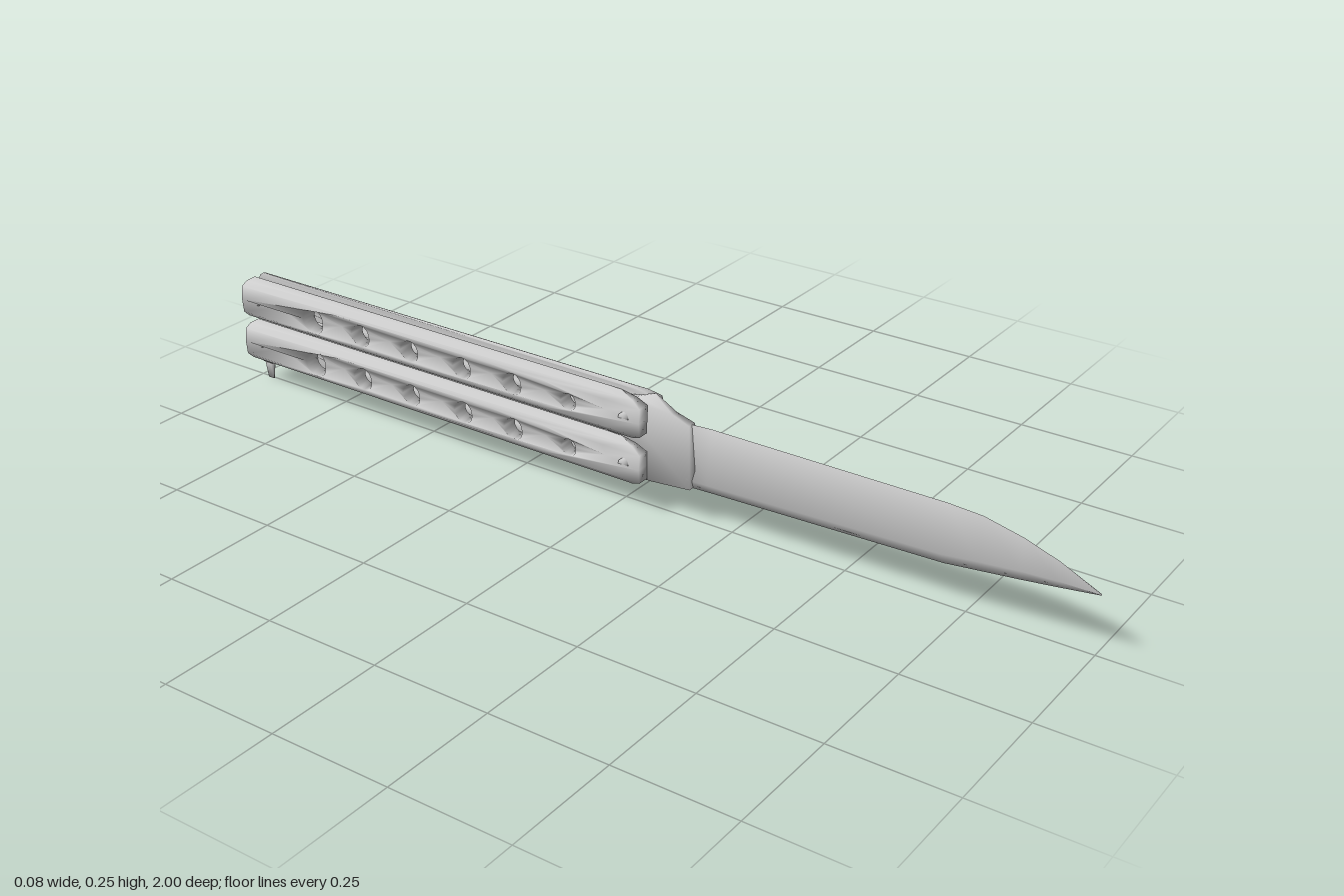
import * as THREE from 'three';
import { mergeGeometries, mergeVertices } from 'three/addons/utils/BufferGeometryUtils.js';

const steel = new THREE.MeshStandardMaterial({ color: 0xcccccc });
const CX = -0.002;                 // centre plane of blade and channels
const INNER = 0.013;               // half width of the channel

// Half cross-section of a handle scale: [height from its middle, outer x, front z, back z]
const RIDGES = [
  [0, 0.042, 0.06, -1], [0.03, 0.039, 0.06, -1],
  [0.041, 0.029, 0.035, -0.995], [0.048, 0.016, 0.0, -0.985],
];
const HOLES = [[-0.79, 0.022], [-0.655, 0.019], [-0.52, 0.018], [-0.38, 0.018], [-0.25, 0.018], [-0.11, 0.014]];
const FLARE = 1.3;                 // widening of each hole toward the outside
const DENTS = [-0.9, ...HOLES.slice(1).map(([z], i) => (z + HOLES[i][0]) / 2), -0.03];
const DENT_DEPTH = 0.017;          // carved hollows between the holes

function addMesh(parent, name, geometry, x = 0, y = 0, z = 0) {
  const mesh = new THREE.Mesh(geometry, steel);
  mesh.name = name;
  mesh.position.set(x, y, z);
  parent.add(mesh);
  return mesh;
}

// Softly shaded all over: each corner takes the plain average of its faces' normals
function smooth(geometry) {
  geometry.deleteAttribute('normal');
  geometry.deleteAttribute('uv');
  const geo = mergeVertices(geometry);
  const p = geo.attributes.position, index = geo.index.array;
  const sums = new Float32Array(p.count * 3);
  const triangle = new THREE.Triangle(), n = new THREE.Vector3();
  for (let i = 0; i < index.length; i += 3) {
    triangle.setFromAttributeAndIndices(p, index[i], index[i + 1], index[i + 2]).getNormal(n);
    for (let k = 0; k < 3; k++) {
      const at = index[i + k] * 3;
      sums[at] += n.x;
      sums[at + 1] += n.y;
      sums[at + 2] += n.z;
    }
  }
  geo.setAttribute('normal', new THREE.BufferAttribute(sums, 3));
  geo.normalizeNormals();
  return geo;
}

// One lengthwise strip of a scale; the innermost strip has half-round notches for the holes
function scaleBand(i, side, up) {
  const [va, xa, fa, ba] = RIDGES[i], [vb, xb, fb, bb] = RIDGES[i + 1];
  const outline = [[ba, va]];
  DENTS.forEach((dent, h) => {
    outline.push([dent, va]);
    if (i > 0 || h === HOLES.length) return;
    const [z, r] = HOLES[h];
    for (let k = 0; k <= 8; k++) {
      const a = Math.PI * (1 - k / 8);
      outline.push([z + r * Math.cos(a), r * Math.sin(a)]);
    }
  });
  outline.push([fa, va], [fb, vb]);
  for (const dent of [...DENTS].reverse()) outline.push([dent, vb]);
  outline.push([bb, vb]);
  const shape = new THREE.Shape(outline.map(([z, v]) => new THREE.Vector2(-side * z, up * v)));
  const geo = new THREE.ExtrudeGeometry(shape, { depth: 1, bevelEnabled: false });
  const p = geo.attributes.position;
  for (let k = 0; k < p.count; k++) {
    let z = -side * p.getX(k), v = p.getY(k);
    const t = p.getZ(k);
    const hole = HOLES.find(([hz, r]) => Math.abs(Math.hypot(z - hz, v) - r) < 1e-4);
    const dented = Math.abs(v) < 1e-5 && DENTS.some((dent) => Math.abs(dent - z) < 1e-4);
    if (hole && t > 0.5) {
      z = hole[0] + (z - hole[0]) * FLARE;
      v *= FLARE;
    }
    const outer = xa + (xb - xa) * (Math.abs(v) - va) / (vb - va) - (dented ? DENT_DEPTH : 0);
    p.setXYZ(k, side * (INNER + t * (outer - INNER)), v, z);
  }
  return geo;
}

function scaleGeometry(side) {
  const bands = [];
  for (const up of [1, -1]) {
    for (let i = 0; i < RIDGES.length - 1; i++) bands.push(scaleBand(i, side, up));
  }
  return smooth(mergeGeometries(bands));
}

// Plate cut from a [z, y] outline, centred on x = 0; halfWidth(y) gives its taper
function plate(outline, halfWidth) {
  const shape = new THREE.Shape(outline.map(([z, y]) => new THREE.Vector2(-z, y)));
  const geo = new THREE.ExtrudeGeometry(shape, { depth: 2, bevelEnabled: false })
    .translate(0, 0, -1).rotateY(Math.PI / 2);
  const p = geo.attributes.position;
  for (let i = 0; i < p.count; i++) p.setX(i, p.getX(i) * halfWidth(p.getY(i)));
  return smooth(geo);
}

function pin(parent, name, z, r, length) {
  const geo = new THREE.CylinderGeometry(r, r, length, 12).rotateZ(Math.PI / 2);
  addMesh(parent, name, smooth(geo), 0, 0, z);
}

// Two scales around a channel, with a ridged spacer toward the other handle
function makeHandle(name, y, inward) {
  const handle = new THREE.Group();
  handle.name = name;
  handle.position.set(CX, y, 0);
  addMesh(handle, 'leftScale', scaleGeometry(1));
  addMesh(handle, 'rightScale', scaleGeometry(-1));
  const near = inward * 0.024, far = inward * 0.043;
  addMesh(handle, 'spacer', plate(
    [[-0.06, near], [-0.06, far], [-0.96, far], [-0.96, near]],
    (v) => 0.002 + (INNER - 0.002) * (v - near) / (far - near)));
  pin(handle, 'pivotPin', 0.02, 0.012, 0.075);
  pin(handle, 'tailPin', -0.96, 0.008, 0.07);
  return handle;
}

// Ground blade: [z, bottom y, shoulder y, edge y, half width], from tip to heel
function bladeGeometry() {
  const stations = [
    [1.0, 0.122, 0.123, 0.125, 0.0005], [0.92, 0.111, 0.125, 0.162, 0.004],
    [0.85, 0.102, 0.122, 0.186, 0.006], [0.77, 0.093, 0.115, 0.204, 0.008],
    [0.7, 0.085, 0.108, 0.208, 0.011], [0.2, 0.071, 0.092, 0.208, 0.012],
    [0.15, 0.069, 0.09, 0.205, 0.012],
  ];
  const pos = [], index = [];
  for (const [z, yb, ym, yt, w] of stations) {
    pos.push(0, yb, z, w, ym, z, 0, yt, z, -w, ym, z);
  }
  for (let i = 0; i < stations.length - 1; i++) {
    for (let j = 0; j < 4; j++) {
      const a = i * 4 + j, b = i * 4 + (j + 1) % 4, c = a + 4, d = b + 4;
      index.push(a, c, b, c, d, b);
    }
  }
  const geo = new THREE.BufferGeometry();
  geo.setAttribute('position', new THREE.Float32BufferAttribute(pos, 3));
  geo.setIndex(index);
  return smooth(geo);
}

export function createModel() {
  const model = new THREE.Group();
  model.name = 'foldingKnife';

  // Blade and its thick heel, with the kicker narrowing to a ridge on top
  addMesh(model, 'blade', bladeGeometry(), CX);
  addMesh(model, 'bladeHeel', plate([
    [0.17, 0.115], [0.155, 0.205], [0.115, 0.218], [0.07, 0.248], [0.03, 0.232],
    [-0.03, 0.22], [-0.04, 0.08], [0.0, 0.06], [0.07, 0.062], [0.16, 0.07],
  ], (y) => 0.0125 * (1 - 0.85 * THREE.MathUtils.clamp((y - 0.19) / 0.058, 0, 1))), CX);

  // Handles
  model.add(makeHandle('upperHandle', 0.195, -1));
  model.add(makeHandle('lowerHandle', 0.095, 1));

  // Tail latch: a small head and a tapered tongue
  const latch = new THREE.Group();
  latch.name = 'tailLatch';
  latch.position.set(CX - 0.002, 0, -0.97);
  addMesh(latch, 'latchHead', smooth(new THREE.BoxGeometry(0.016, 0.06, 0.026)), 0, 0.07, 0);
  addMesh(latch, 'latchTongue', plate(
    [[0.008, 0], [0.008, 0.045], [-0.008, 0.045], [-0.008, 0]], (y) => 0.001 + 0.16 * y));
  model.add(latch);

  return model;
}
